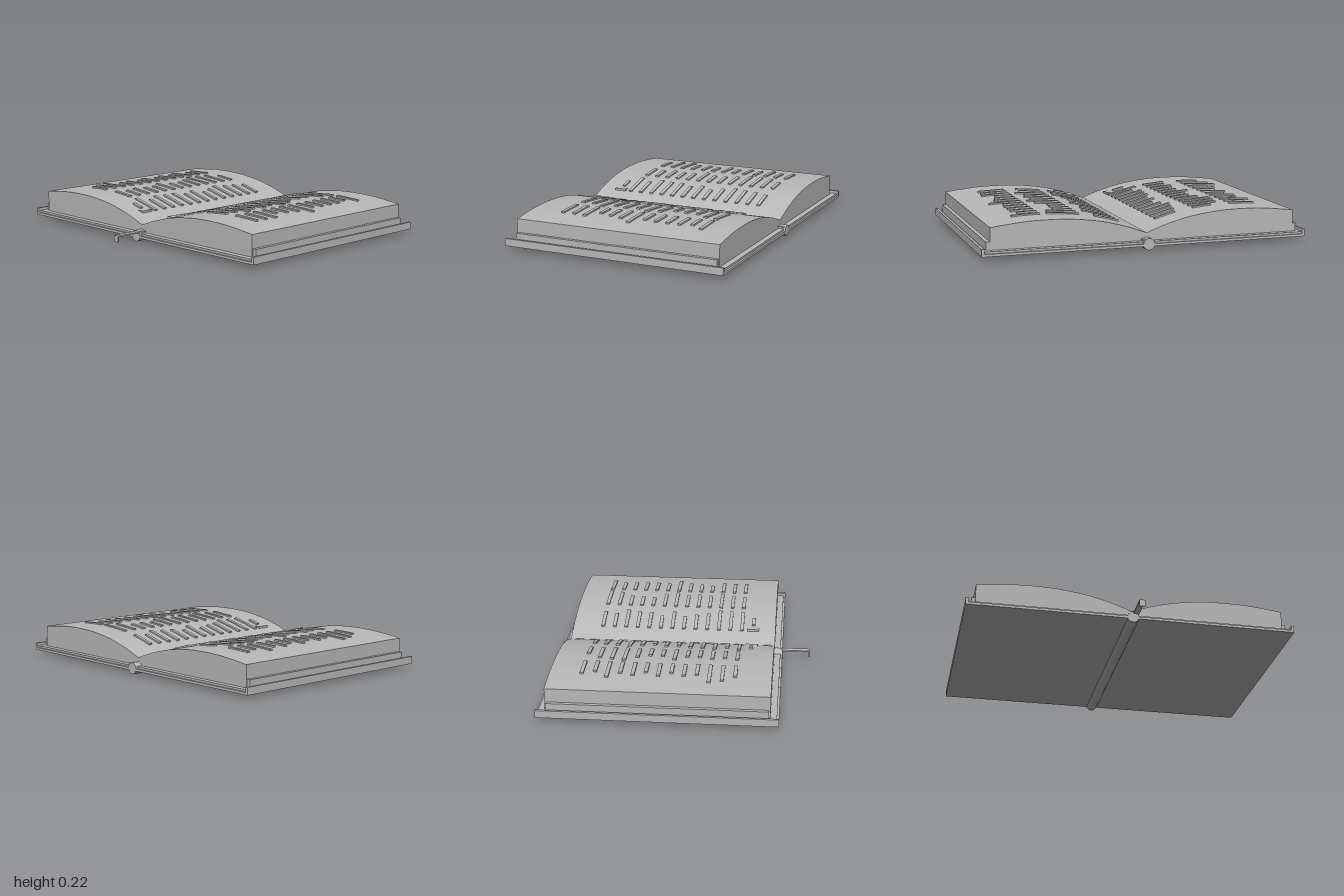
import * as THREE from 'three';

// Height profile of an open page, from the gutter outwards
const profile = [[0, 0.097], [0.1, 0.134], [0.2, 0.163], [0.3, 0.185], [0.45, 0.204],
  [0.6, 0.209], [0.75, 0.204], [0.94, 0.183]];
const pageCurve = new THREE.SplineCurve(profile.map(([x, y]) => new THREE.Vector2(x, y)));
const pagePoints = pageCurve.getPoints(28);

function pageHeight(x) {
  const d = Math.abs(x);
  for (let i = 1; i < pagePoints.length; i++) {
    const a = pagePoints[i - 1], b = pagePoints[i];
    if (d <= b.x) return a.y + (b.y - a.y) * (d - a.x) / (b.x - a.x);
  }
  return profile[profile.length - 1][1];
}

// Text columns: inner edge x, and line lengths in hundredths
const columns = [
  [-0.6, [16, 13, 19, 14, 16, 12, 16, 12, 15, 13, 21, 19, 14]],
  [-0.36, [12, 18, 19, 20, 15, 12, 12, 17, 12, 12, 14, 12, 14]],
  [-0.115, [13, 15, 16, 18, 15, 12, 16, 14, 17, 17, 18, 14, 19]],
  [0.115, [15, 13, 18, 16, 15, 12, 17, 12, 14, 16, 20, 19, 19]],
  [0.36, [20, 18, 12, 12, 11, 17, 20, 16, 18, 16, 20, 16, 16]],
  [0.6, [17, 12, 14, 14, 14, 13, 20, 15, 13, 11, 18, 17, 17]],
];

export function createModel() {
  const group = new THREE.Group();
  const grey = new THREE.MeshStandardMaterial({ color: 0xb8b8b8, flatShading: true });
  grey.name = 'grey';

  function add(name, geometry, x = 0, y = 0, z = 0) {
    const mesh = new THREE.Mesh(geometry, grey);
    mesh.name = name;
    mesh.position.set(x, y, z);
    group.add(mesh);
    return mesh;
  }
  // Box given by its limits
  function box(name, x0, x1, y0, y1, z0, z1) {
    return add(name, new THREE.BoxGeometry(x1 - x0, y1 - y0, z1 - z0),
      (x0 + x1) / 2, (y0 + y1) / 2, (z0 + z1) / 2);
  }
  // Bar lying along the page slope
  function bar(name, x0, x1, z, depth) {
    const y0 = pageHeight(x0), y1 = pageHeight(x1), xm = (x0 + x1) / 2;
    const mesh = add(name, new THREE.BoxGeometry(Math.hypot(x1 - x0, y1 - y0), 0.014, depth),
      xm, (y0 + y1) / 2 + 0.003, z);
    mesh.rotation.z = Math.atan2(y1 - y0, x1 - x0);
  }

  // Page block
  const shape = new THREE.Shape();
  shape.moveTo(-0.94, 0.045);
  shape.lineTo(0.94, 0.045);
  for (let i = pagePoints.length - 1; i >= 0; i--) shape.lineTo(pagePoints[i].x, pagePoints[i].y);
  for (let i = 1; i < pagePoints.length; i++) shape.lineTo(-pagePoints[i].x, pagePoints[i].y);
  add('pages', new THREE.ExtrudeGeometry(shape, { depth: 1.31, bevelEnabled: false }), 0, 0, -0.742);

  // Covers, raised outer rims and lower page ledges on both sides
  for (const s of [-1, 1]) {
    const side = (name, a, b, ...rest) => box(name, Math.min(s * a, s * b), Math.max(s * a, s * b), ...rest);
    side('cover', 0.02, 1, 0.025, 0.04, -0.79, 0.618);
    side('coverLining', 0.02, 0.99, 0.04, 0.052, -0.778, 0.606);
    side('coverRim', 0.984, 1, 0.04, 0.07, -0.79, 0.618);
    side('pageLedge', 0.93, 0.963, 0.05, 0.1, -0.735, 0.56);

    // Page number with its small end plate
    bar('pageNumber', ...(s < 0 ? [-0.24, -0.17] : [0.17, 0.24]), 0.425, 0.022);
    side('pageMark', 0.115, 0.185, 0.135, 0.152, 0.388, 0.463);
  }

  // Rounded spine
  const spine = new THREE.CylinderGeometry(0.036, 0.036, 1.408, 12);
  spine.rotateX(Math.PI / 2);
  add('spine', spine, 0, 0.037, -0.086);

  // Ribbon bookmark with a folded end
  box('ribbon', 0, 0.035, 0.058, 0.066, -0.78, 0.79);
  box('ribbonEnd', 0, 0.035, 0.025, 0.066, 0.783, 0.79);

  // Lines of text
  for (const [edge, lengths] of columns) {
    lengths.forEach((length, row) => {
      const end = edge + Math.sign(edge) * length / 100;
      bar('textLine', Math.min(edge, end), Math.max(edge, end), -0.55 + row * 0.0752, 0.022);
    });
  }
  return group;
}
